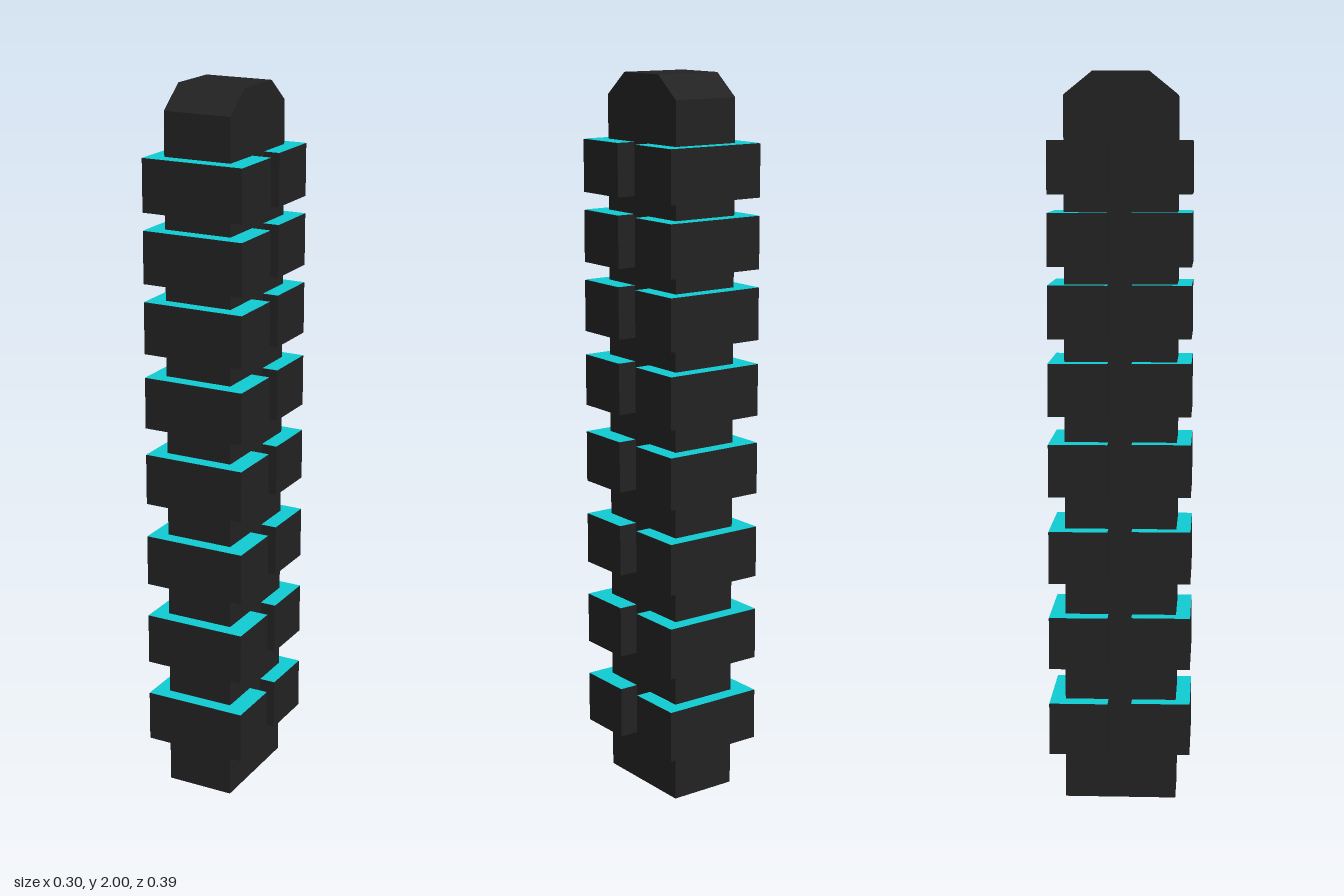
import * as THREE from 'three';

const dark = new THREE.MeshStandardMaterial({ color: 0x222222 });
const cyan = new THREE.MeshStandardMaterial({ color: 0x10cbd1 });

// Upright core: side profile (z, y) with a chamfered top, extruded across x
function createCore() {
  const halfDepth = 0.153, width = 0.194;
  const profile = new THREE.Shape([
    [-halfDepth, 0], [halfDepth, 0], [halfDepth, 1.938],
    [0.076, 2], [-0.076, 2], [-halfDepth, 1.938],
  ].map(([z, y]) => new THREE.Vector2(z, y)));
  const geometry = new THREE.ExtrudeGeometry(profile, { depth: width, bevelEnabled: false });
  geometry.translate(0, 0, -width / 2).rotateY(-Math.PI / 2).translate(-0.001, 0, 0);
  const core = new THREE.Mesh(geometry, dark);
  core.name = 'core';
  return core;
}

// Grip block with a coloured top face
function createBlock(name) {
  const w = 0.293, h = 0.144, d = 0.161, gap = 0.001;
  const block = new THREE.Group();
  block.name = name;
  const body = new THREE.Mesh(new THREE.BoxGeometry(w, h - gap, d), dark);
  body.name = 'blockBody';
  body.position.y = -gap / 2;
  const top = new THREE.Mesh(new THREE.PlaneGeometry(w, d).rotateX(-Math.PI / 2), cyan);
  top.name = 'blockTop';
  top.position.y = h / 2;
  block.add(body, top);
  return block;
}

export function createModel() {
  const model = new THREE.Group();
  model.name = 'segmentedPillar';
  model.add(createCore());

  // Eight tiers, each with a front and a back block slightly offset sideways
  const tiers = [0.21, 0.452, 0.692, 0.932, 1.152, 1.362, 1.555, 1.747];
  tiers.forEach((y, i) => {
    const front = createBlock(`frontBlock${i + 1}`);
    front.position.set(0.004, y, 0.112);
    const back = createBlock(`backBlock${i + 1}`);
    back.position.set(-0.005, y, -0.114);
    model.add(front, back);
  });
  return model;
}
